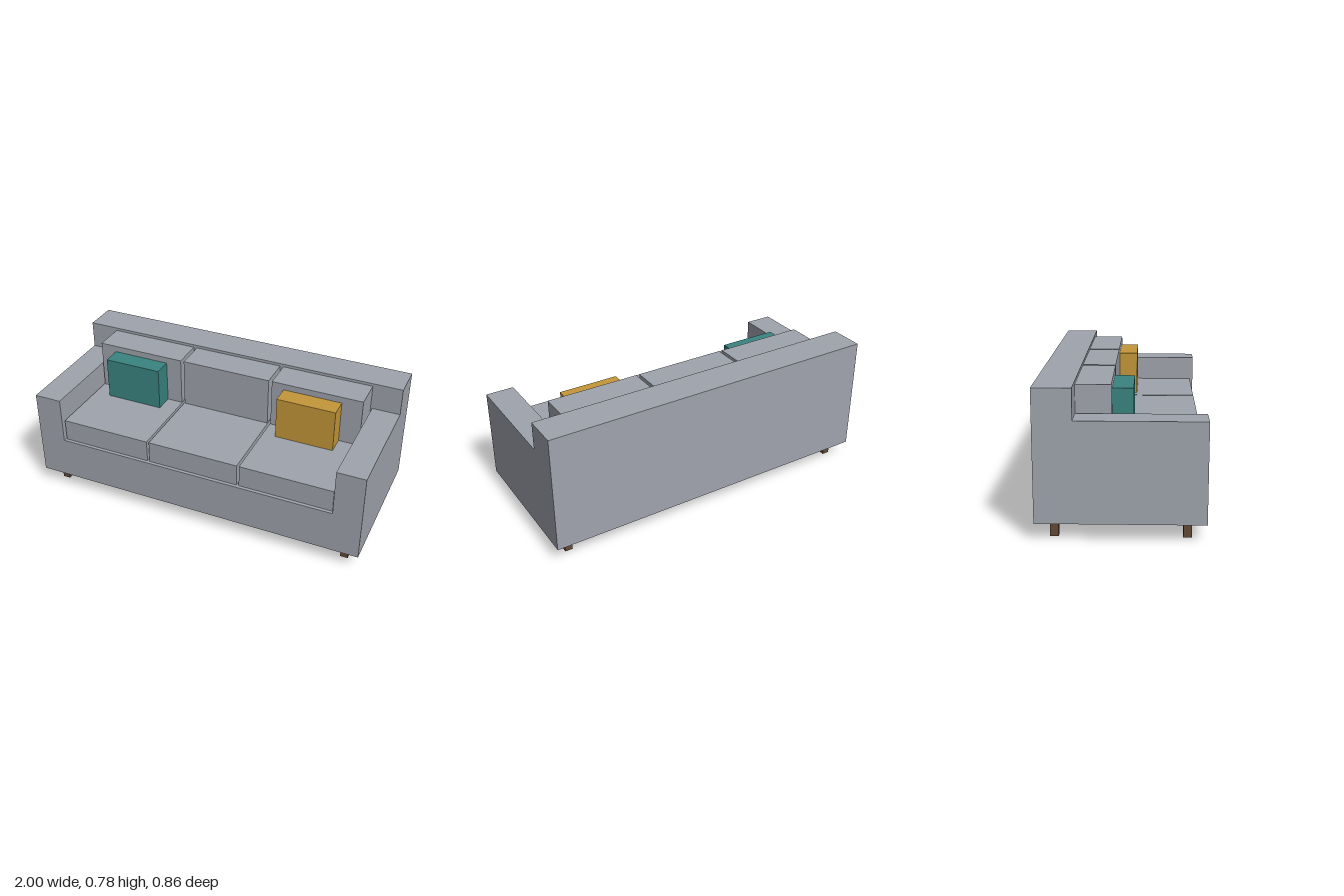
import * as THREE from 'three';

export function createModel() {
  const sofa = new THREE.Group();
  sofa.name = 'sofa';

  const material = (name, color, side = THREE.FrontSide) => {
    const m = new THREE.MeshStandardMaterial({ color, side });
    m.name = name;
    return m;
  };
  const fabric = material('grey fabric', 0xa0a4ad, THREE.DoubleSide);
  const teal = material('teal fabric', 0x3a8480);
  const mustard = material('mustard fabric', 0xc4983a);
  const wood = material('dark wood', 0x644a35);

  // Box given by its [min, max] range on each axis
  const block = (name, mat, [x0, x1], [y0, y1], [z0, z1]) => {
    const geometry = new THREE.BoxGeometry(x1 - x0, y1 - y0, z1 - z0);
    const mesh = new THREE.Mesh(geometry, mat);
    mesh.position.set((x0 + x1) / 2, (y0 + y1) / 2, (z0 + z1) / 2);
    mesh.name = name;
    sofa.add(mesh);
    return mesh;
  };

  const floorGap = 0.093, deck = 0.345, seatTop = 0.476;
  const depth = 0.432, backFront = -0.233, cushionFront = -0.05;

  // Hollow base: the bottom face (fourth of six) is left out
  const base = block('base', fabric, [-1, 1], [floorGap, deck], [-depth, depth]);
  const index = Array.from(base.geometry.index.array);
  index.splice(18, 6);
  base.geometry.setIndex(index);
  base.geometry.clearGroups();

  // Backrest and arms
  block('backrest', fabric, [-1, 1], [deck, 0.782], [-depth, backFront]);
  block('rightArm', fabric, [-1, -0.837], [deck, 0.62], [backFront, depth]);
  block('leftArm', fabric, [0.837, 1], [deck, 0.62], [backFront, depth]);

  // Three seat cushions with three back cushions on top
  ['right', 'middle', 'left'].forEach((side, i) => {
    const x = (i - 1) * 0.558;
    block(side + 'SeatCushion', fabric, [x - 0.272, x + 0.272], [deck, seatTop], [backFront, 0.412]);
    block(side + 'BackCushion', fabric, [x - 0.269, x + 0.269], [seatTop, 0.765], [backFront, cushionFront]);
  });

  // Throw pillows
  block('tealPillow', teal, [-0.73, -0.383], [seatTop, 0.728], [cushionFront, 0.06]);
  block('mustardPillow', mustard, [0.361, 0.706], [seatTop, 0.728], [cushionFront, 0.06]);

  // Legs
  for (const x of [-0.905, 0.905]) {
    for (const z of [-0.337, 0.337]) {
      block('leg', wood, [x - 0.022, x + 0.022], [0, floorGap], [z - 0.022, z + 0.022]);
    }
  }

  return sofa;
}
